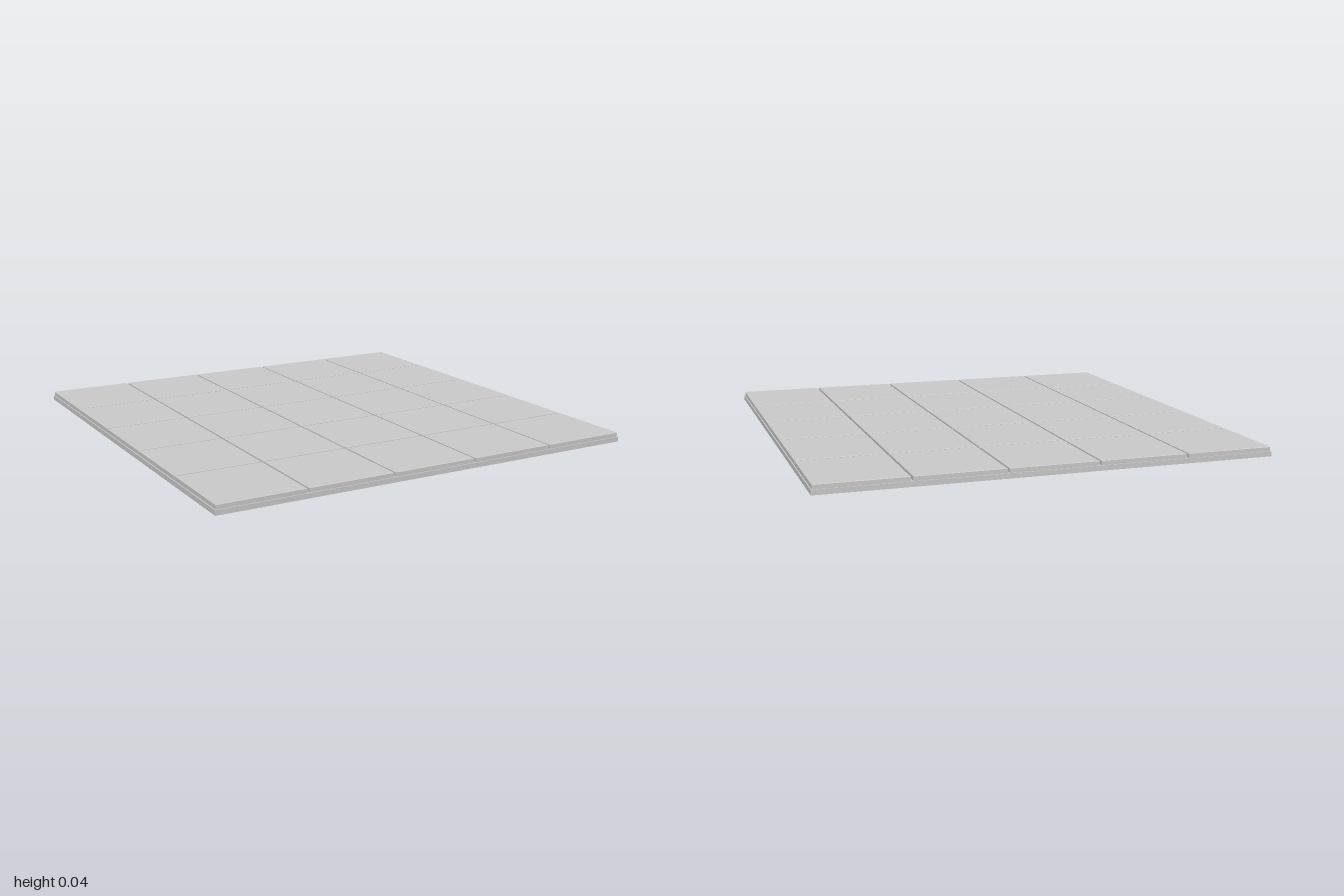
import * as THREE from 'three';

const COUNT = 5;      // tiles per side
const PITCH = 0.4;    // spacing between tile centres
const TILE = 0.39;    // tile width, leaving narrow joints
const BASE_H = 0.022;
const TOP = 0.042;
const BEVEL = 0.002;

// Square tile with a fine chamfer around its top edge
function tileGeometry() {
  const height = TOP - BASE_H;
  const geometry = new THREE.BoxGeometry(TILE, height, TILE, 1, 2, 1);
  const pos = geometry.attributes.position;
  const edge = TILE / 2 - BEVEL;
  for (let i = 0; i < pos.count; i++) {
    const y = pos.getY(i);
    if (y > height / 4) {
      pos.setX(i, Math.sign(pos.getX(i)) * edge);
      pos.setZ(i, Math.sign(pos.getZ(i)) * edge);
    } else if (y > -height / 4) {
      pos.setY(i, height / 2 - BEVEL);
    }
  }
  return geometry;
}

export function createModel() {
  const model = new THREE.Group();
  model.name = 'tiledFloor';
  const material = new THREE.MeshStandardMaterial({ color: 0xcccccc, flatShading: true });

  // Base slab
  const slab = new THREE.Mesh(new THREE.BoxGeometry(2, BASE_H, 2), material);
  slab.name = 'baseSlab';
  slab.position.y = BASE_H / 2;
  model.add(slab);

  // Grid of floor tiles
  const tiles = new THREE.Group();
  tiles.name = 'tiles';
  const geometry = tileGeometry();
  const middle = (COUNT - 1) / 2;
  for (let row = 0; row < COUNT; row++) {
    for (let col = 0; col < COUNT; col++) {
      const tile = new THREE.Mesh(geometry, material);
      tile.name = `tile_${row + 1}_${col + 1}`;
      tile.position.set((col - middle) * PITCH, (BASE_H + TOP) / 2, (row - middle) * PITCH);
      tiles.add(tile);
    }
  }
  model.add(tiles);
  return model;
}
